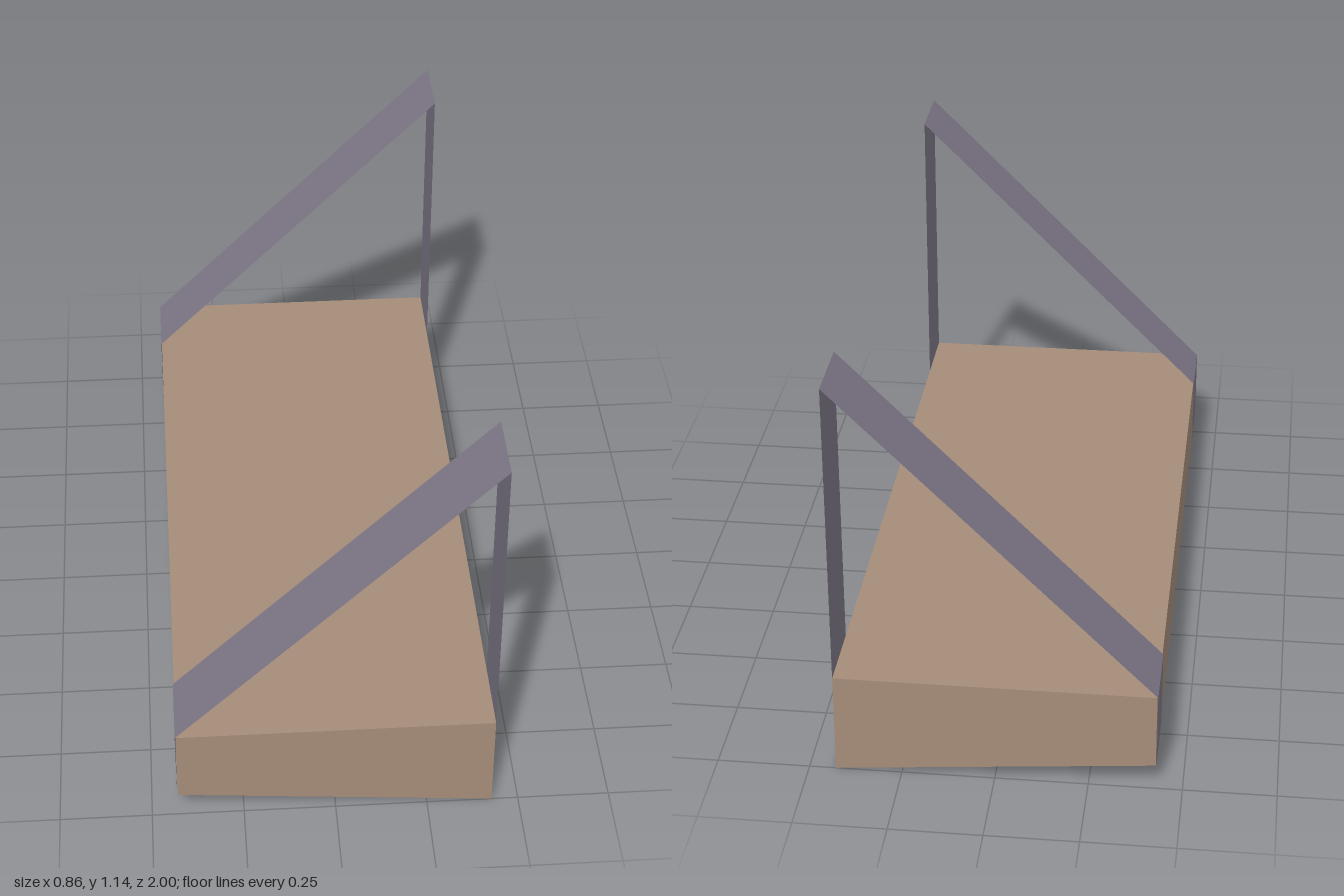
import * as THREE from 'three';

const wood = new THREE.MeshStandardMaterial({ color: 0xa68c79 });
wood.name = 'wood';
const strapGrey = new THREE.MeshStandardMaterial({ color: 0x7d7787, side: THREE.DoubleSide });
strapGrey.name = 'strapGrey';

const HALF_WIDTH = 0.428, TOP = 0.287, PEAK = 1.143, LOW_EDGE = 0.073;

// Flat ribbon following a profile in x/y, from z0 to z1, with sharp folds
function ribbon(path, z0, z1) {
  const points = [];
  for (let i = 0; i < path.length - 1; i++) {
    const [ax, ay] = path[i], [bx, by] = path[i + 1];
    points.push(ax, ay, z0, ax, ay, z1, bx, by, z1);
    points.push(ax, ay, z0, bx, by, z1, bx, by, z0);
  }
  const geometry = new THREE.BufferGeometry();
  geometry.setAttribute('position', new THREE.Float32BufferAttribute(points, 3));
  geometry.computeVertexNormals();
  return geometry;
}

export function createModel() {
  const model = new THREE.Group();
  model.name = 'hangingShelf';

  // Board with a sloping underside
  const profile = new THREE.Shape([
    new THREE.Vector2(-HALF_WIDTH, LOW_EDGE),
    new THREE.Vector2(HALF_WIDTH, 0),
    new THREE.Vector2(HALF_WIDTH, TOP),
    new THREE.Vector2(-HALF_WIDTH, TOP),
  ]);
  const boardGeometry = new THREE.ExtrudeGeometry(profile, { depth: 2, bevelEnabled: false });
  boardGeometry.translate(0, 0, -1);
  const board = new THREE.Mesh(boardGeometry, wood);
  board.name = 'board';
  model.add(board);

  // Straps: up the low edge, diagonally to the peak, then straight down
  const outer = -HALF_WIDTH - 0.002;
  const path = [[outer, LOW_EDGE], [outer, TOP], [HALF_WIDTH, PEAK], [HALF_WIDTH, TOP]];
  for (const [name, z0, z1] of [['frontStrap', 0.792, 1], ['backStrap', -1, -0.792]]) {
    const strap = new THREE.Mesh(ribbon(path, z0, z1), strapGrey);
    strap.name = name;
    model.add(strap);
  }
  return model;
}
